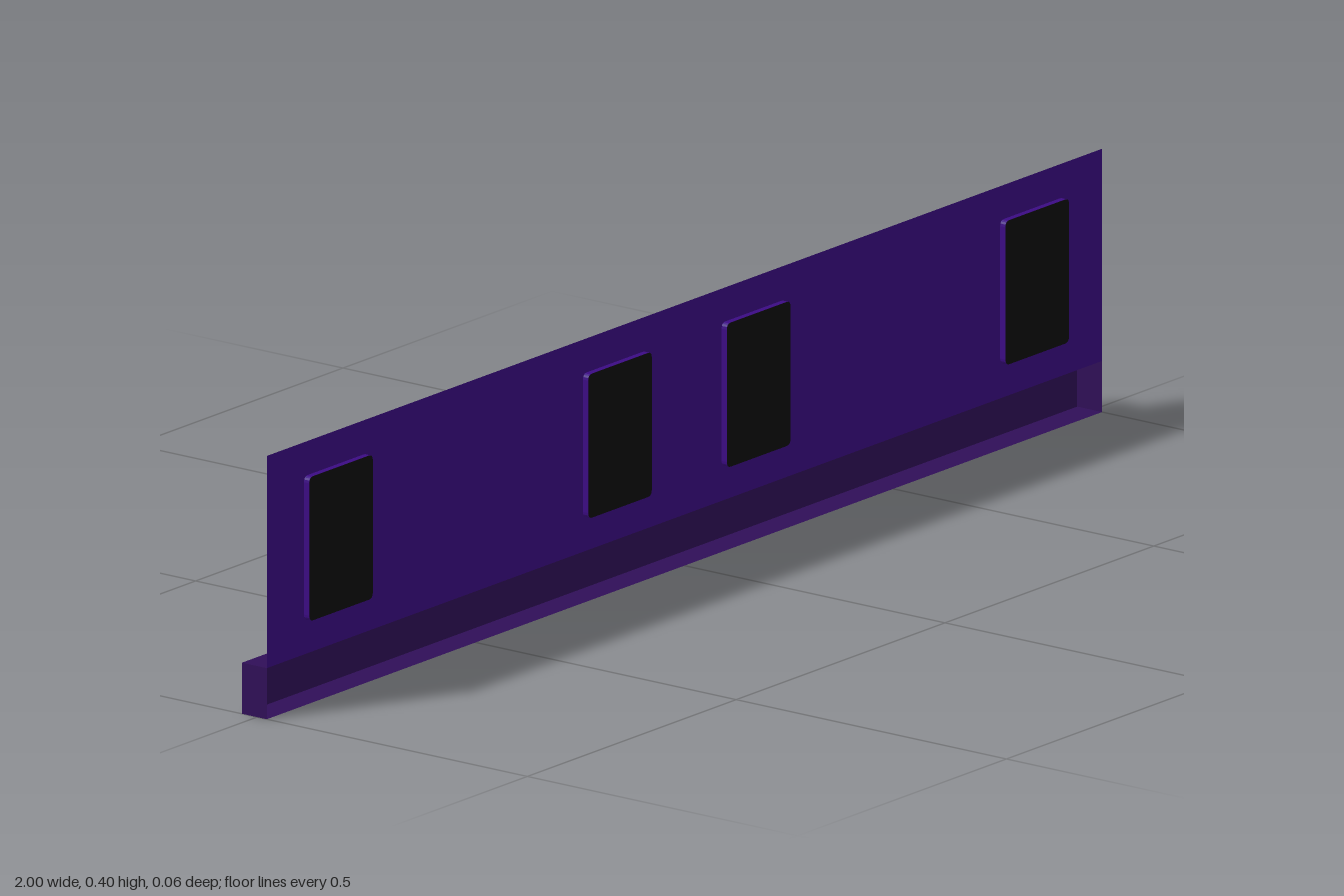
import * as THREE from 'three';

const WALL_Z = 0.018, PANE_Z = 0.028;
const WIN_W = 0.152, WIN_Y0 = 0.13, WIN_Y1 = 0.35, RIM = 0.003;

// Rounded window outline centred on x, shrunk by inset
function outline(PathType, x, inset = 0) {
  const x0 = x - WIN_W / 2 + inset, x1 = x + WIN_W / 2 - inset;
  const y0 = WIN_Y0 + inset, y1 = WIN_Y1 - inset, r = 0.009 - inset;
  const p = new PathType();
  p.moveTo(x0 + r, y0);
  p.lineTo(x1 - r, y0).quadraticCurveTo(x1, y0, x1, y0 + r);
  p.lineTo(x1, y1 - r).quadraticCurveTo(x1, y1, x1 - r, y1);
  p.lineTo(x0 + r, y1).quadraticCurveTo(x0, y1, x0, y1 - r);
  p.lineTo(x0, y0 + r).quadraticCurveTo(x0, y0, x0 + r, y0);
  return p;
}

export function createModel() {
  const group = new THREE.Group();
  const material = (name, color) => {
    const m = new THREE.MeshStandardMaterial({ color, side: THREE.DoubleSide });
    m.name = name;
    return m;
  };
  const purple = material('purple', 0x3c0b84);
  const darkPurple = material('darkPurple', 0x300f58);
  const black = material('black', 0x0d0d0d);

  const add = (name, geometry, mat, x = 0, y = 0, z = 0, parent = group) => {
    const mesh = new THREE.Mesh(geometry, mat);
    mesh.name = name;
    mesh.position.set(x, y, z);
    parent.add(mesh);
    return mesh;
  };

  // Base channel: a long box, open at the front (fifth face removed)
  const base = new THREE.BoxGeometry(2, 0.078, 0.046);
  const index = Array.from(base.index.array);
  index.splice(24, 6);
  base.setIndex(index);
  base.clearGroups();
  add('baseChannel', base, darkPurple, 0, 0.039, -0.005);

  // Thin wall panel with window openings
  const windows = [-0.835, -0.167, 0.165, 0.832];
  const panel = new THREE.Shape();
  panel.moveTo(-1, 0.078);
  panel.lineTo(1, 0.078).lineTo(1, 0.402).lineTo(-1, 0.402).closePath();
  windows.forEach(x => panel.holes.push(outline(THREE.Path, x, RIM)));
  add('wallPanel', new THREE.ShapeGeometry(panel, 4), purple, 0, 0, WALL_Z);

  // Window rims and panes, standing out from the wall
  windows.forEach(x => {
    const rim = outline(THREE.Shape, x);
    rim.holes.push(outline(THREE.Path, x, RIM));
    const depth = PANE_Z - WALL_Z - 0.0004;
    add('windowRim', new THREE.ExtrudeGeometry(rim, { depth, bevelEnabled: false, curveSegments: 4 }),
      purple, 0, 0, WALL_Z);
    add('windowPane', new THREE.ShapeGeometry(outline(THREE.Shape, x), 4), black, 0, 0, PANE_Z);
  });

  // Blinds behind the two middle panes, made of tilted slats
  const addBlind = (x, height, slats) => {
    const blind = new THREE.Group();
    blind.name = 'blind';
    const step = height / slats, tilt = 0.006;
    for (let i = 0; i < slats; i++) {
      const slat = new THREE.PlaneGeometry(WIN_W - 2 * RIM, Math.hypot(step, tilt));
      slat.rotateX(Math.atan2(tilt, step));
      add('slat', slat, darkPurple, x, WIN_Y1 - RIM - (i + 0.5) * step, 0.0225, blind);
    }
    group.add(blind);
  };
  addBlind(windows[2], 0.135, 5);
  addBlind(windows[1], 0.065, 5);

  return group;
}
